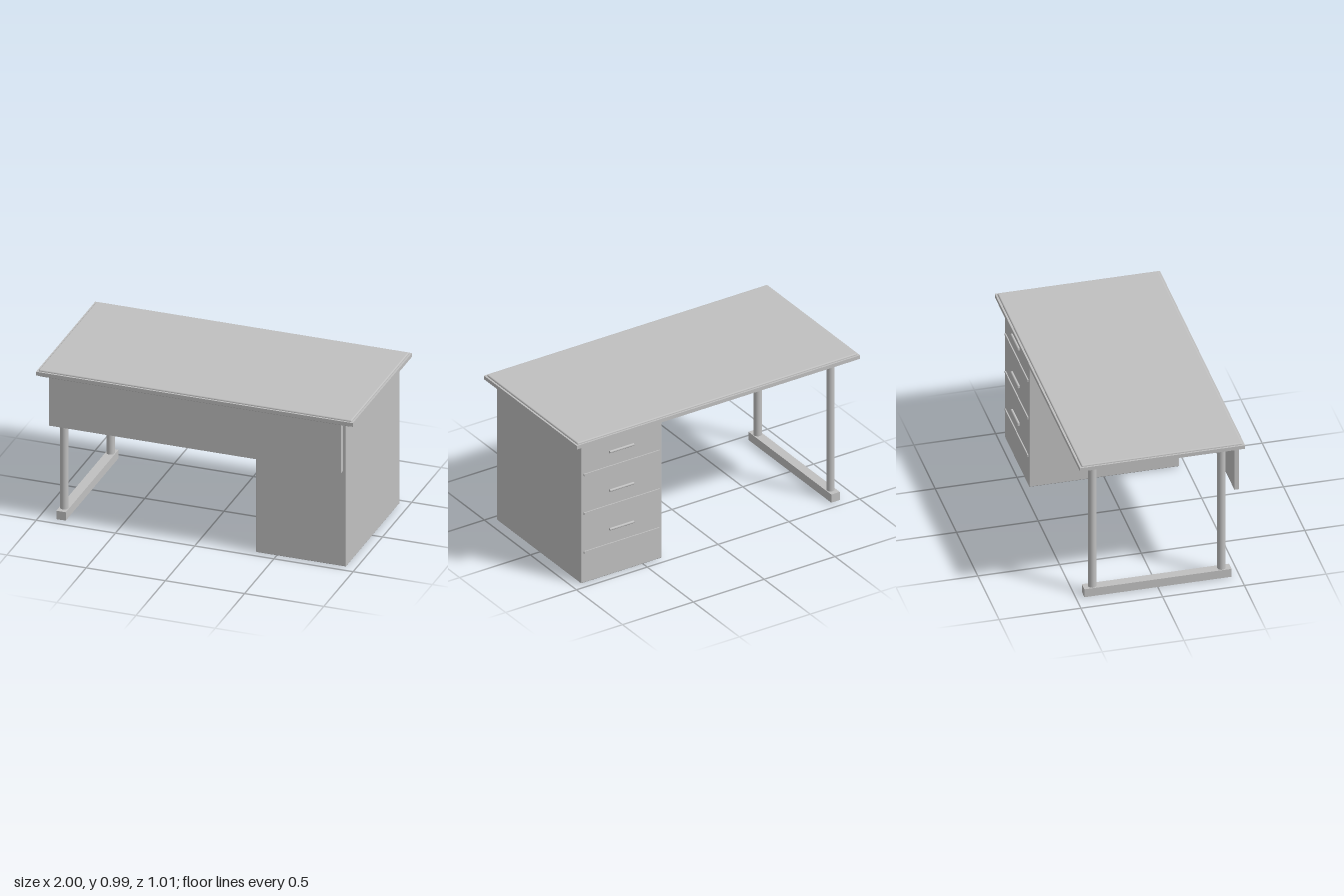
import * as THREE from 'three';
import { RoundedBoxGeometry } from 'three/addons/geometries/RoundedBoxGeometry.js';

const grey = new THREE.MeshStandardMaterial({ color: 0xc0c0c0 });
grey.name = 'grey';

export function createModel() {
  const desk = new THREE.Group();
  desk.name = 'desk';

  const add = (name, geometry, x, y, z) => {
    const mesh = new THREE.Mesh(geometry, grey);
    mesh.name = name;
    mesh.position.set(x, y, z);
    desk.add(mesh);
    return mesh;
  };
  // Box given by its two opposite corners, optionally with rounded edges
  const box = (name, [x0, y0, z0], [x1, y1, z1], radius = 0) => {
    const size = [x1 - x0, y1 - y0, z1 - z0];
    const geometry = radius
      ? new RoundedBoxGeometry(...size, 2, radius)
      : new THREE.BoxGeometry(...size);
    return add(name, geometry, (x0 + x1) / 2, (y0 + y1) / 2, (z0 + z1) / 2);
  };

  // Top: soft-edged slab with a square edge band around it
  box('tabletop', [-0.988, 0.945, -0.493], [0.988, 0.99, 0.493], 0.008);
  box('edgeBand', [-1, 0.956, -0.505], [1, 0.98, 0.505]);

  // Panel hanging under the front edge
  box('modestyPanel', [-0.925, 0.63, 0.459], [0.92, 0.95, 0.487]);

  // Drawer cabinet; drawers open towards the back
  box('drawerCabinet', [0.37, 0.003, -0.458], [0.94, 0.933, 0.458], 0.005);
  for (let i = 0; i < 3; i++) {
    const y = 0.843 - i * 0.263;
    const handle = add('drawerHandle', new THREE.CylinderGeometry(0.008, 0.008, 0.17, 16), 0.66, y, -0.468);
    handle.rotation.z = Math.PI / 2;
    box('drawerDivider', [0.388, y - 0.113, -0.465], [0.922, y - 0.099, -0.456]);
  }

  // Leg frame on the other side: two round posts on a floor rail
  for (const z of [-0.395, 0.395]) {
    add('leg', new THREE.CylinderGeometry(0.025, 0.025, 0.948, 32), -0.862, 0.474, z);
  }
  box('footRail', [-0.892, 0.003, -0.45], [-0.832, 0.058, 0.45]);

  return desk;
}
